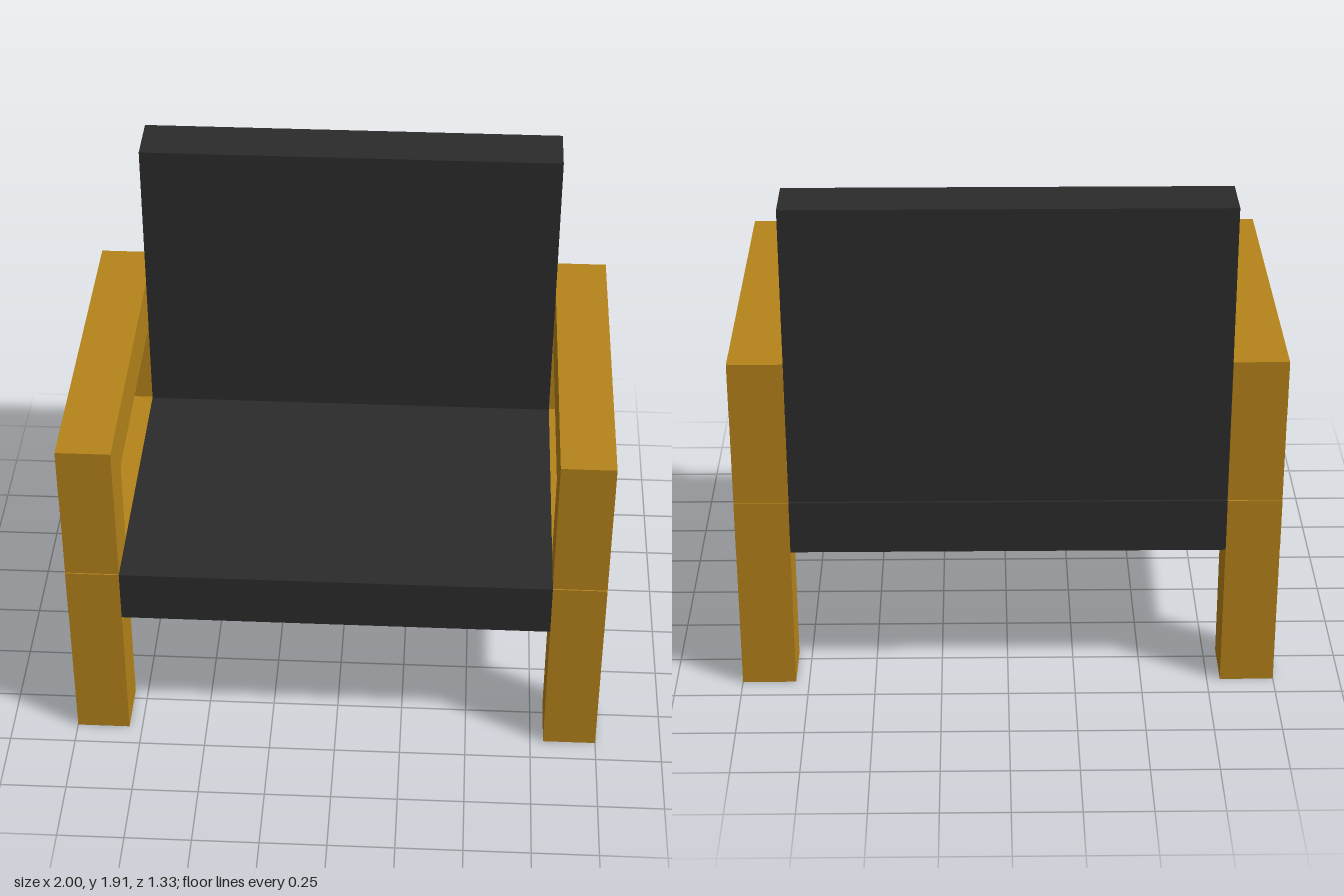
import * as THREE from 'three';

const wood = new THREE.MeshStandardMaterial({ color: 0xb5831a });
const fabric = new THREE.MeshStandardMaterial({ color: 0x2b2b2b });

// Box given by its [min, max] range on each axis
function box(name, material, [x0, x1], [y0, y1], [z0, z1]) {
  const mesh = new THREE.Mesh(new THREE.BoxGeometry(x1 - x0, y1 - y0, z1 - z0), material);
  mesh.name = name;
  mesh.position.set((x0 + x1) / 2, (y0 + y1) / 2, (z0 + z1) / 2);
  return mesh;
}

export function createModel() {
  const chair = new THREE.Group();
  chair.name = 'armchair';

  const seatY = [0.565, 0.77];
  const depth = [-0.665, 0.665];

  // Wooden side frames: two legs, seat rail, two arm posts and armrest
  for (const [side, x] of [['left', [0.8, 1]], ['right', [-1, -0.8]]]) {
    const frame = new THREE.Group();
    frame.name = side + 'SideFrame';
    for (const [end, z] of [['front', [0.455, 0.66]], ['back', [-0.66, -0.455]]]) {
      frame.add(box(end + 'Leg', wood, x, [0, seatY[0]], z));
      frame.add(box(end + 'ArmPost', wood, x, [seatY[1], 1.12], z));
    }
    frame.add(box('seatRail', wood, x, seatY, depth));
    frame.add(box('armrest', wood, x, [1.12, 1.33], depth));
    chair.add(frame);
  }

  // Cushions between the frames
  chair.add(box('seatCushion', fabric, [-0.8, 0.8], seatY, depth));
  chair.add(box('backCushion', fabric, [-0.8, 0.8], [seatY[1], 1.915], [-0.655, -0.448]));

  return chair;
}
